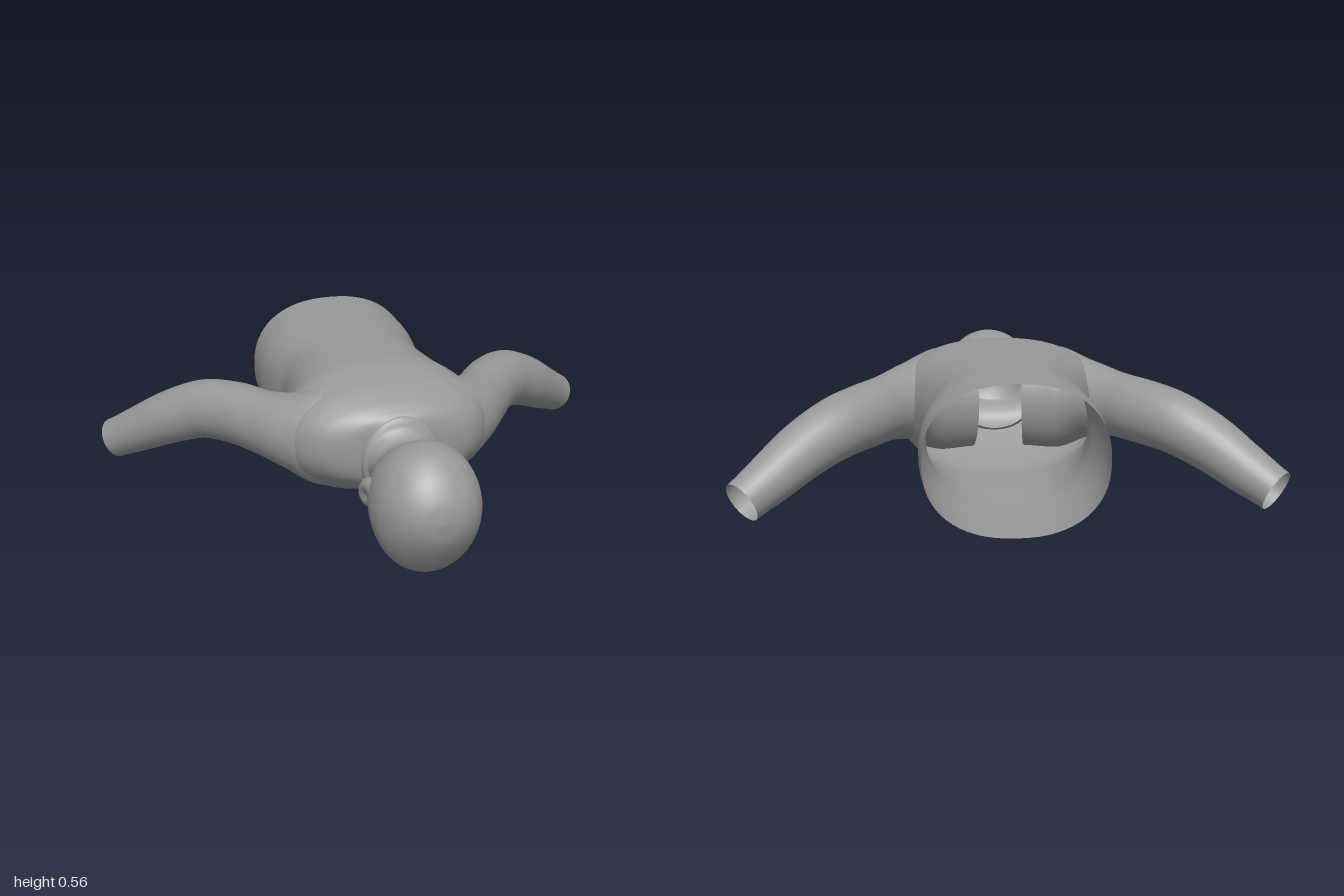
import * as THREE from 'three';
import { mergeVertices } from 'three/addons/utils/BufferGeometryUtils.js';

const material = new THREE.MeshStandardMaterial({ color: 0x999999, side: THREE.DoubleSide });

// Catmull-Rom sample of a table of rows, t from 0 to 1
function sample(rows, t) {
  const n = rows.length - 1;
  const i = Math.min(Math.floor(t * n), n - 1);
  const f = t * n - i;
  const row = k => rows[Math.min(Math.max(k, 0), n)];
  return rows[i].map((b, c) => {
    const a = row(i - 1)[c], d = row(i + 1)[c], e = row(i + 2)[c];
    return b + 0.5 * f * (d - a + f * (2 * a - 5 * b + 4 * d - e + f * (3 * (b - d) + e - a)));
  });
}

// Weld the seams and smooth the normals
function smooth(geometry) {
  geometry.deleteAttribute('uv');
  geometry.deleteAttribute('normal');
  const welded = mergeVertices(geometry, 1e-5);
  welded.computeVertexNormals();
  return welded;
}

// Surface from a rule point(u, v) -> [x, y, z]
function surface(nu, nv, point) {
  const positions = [], index = [];
  for (let i = 0; i <= nu; i++) {
    for (let j = 0; j <= nv; j++) positions.push(...point(i / nu, j / nv));
  }
  for (let i = 0; i < nu; i++) {
    for (let j = 0; j < nv; j++) {
      const a = i * (nv + 1) + j, b = a + nv + 1;
      index.push(a, b, a + 1, b, b + 1, a + 1);
    }
  }
  const geometry = new THREE.BufferGeometry();
  geometry.setAttribute('position', new THREE.Float32BufferAttribute(positions, 3));
  geometry.setIndex(index);
  return smooth(geometry);
}

const signedPow = (v, p) => Math.sign(v) * Math.pow(Math.abs(v), p);

// Point on a rounded section; angle runs from the top towards +x
function sectionPoint([z, top, bottom, width], angle, power = 1, grow = 0) {
  const h = (top - bottom) / 2 + grow;
  return [
    (width + grow) * signedPow(Math.sin(angle), power),
    (top + bottom) / 2 + h * signedPow(Math.cos(angle), power),
    z,
  ];
}

// Sections: z, top, bottom, half width
const torsoRows = [
  [0.285, 0.44, 0.25, 0.12], [0.265, 0.46, 0.19, 0.22], [0.22, 0.49, 0.15, 0.31],
  [0.13, 0.53, 0.1, 0.38], [0, 0.557, 0.048, 0.385], [-0.13, 0.56, 0.038, 0.34],
  [-0.26, 0.56, 0.032, 0.31], [-0.4, 0.56, 0.022, 0.295], [-0.53, 0.56, 0.02, 0.315],
  [-0.66, 0.56, 0.02, 0.33], [-0.8, 0.562, 0.02, 0.325],
];
const headRows = [
  [0.803, 0.25, 0.25, 0], [0.787, 0.325, 0.17, 0.08], [0.74, 0.4, 0.09, 0.146],
  [0.67, 0.455, 0.008, 0.187], [0.6, 0.47, -0.01, 0.2], [0.53, 0.458, 0.02, 0.195],
  [0.46, 0.425, 0.09, 0.172], [0.4, 0.39, 0.155, 0.14], [0.35, 0.38, 0.17, 0.127],
  [0.31, 0.405, 0.15, 0.132], [0.28, 0.448, 0.105, 0.15], [0.2, 0.42, 0.155, 0.15],
];
// Lower rim of the open face: z, y
const faceRim = [[0.665, 0], [0.64, 0.045], [0.6, 0.11], [0.56, 0.15], [0.5, 0.163], [0.38, 0.168]];

function rimHeight(z) {
  for (let i = 1; i < faceRim.length; i++) {
    const [z0, y0] = faceRim[i - 1], [z1, y1] = faceRim[i];
    if (z <= z0 && z >= z1) return y0 + (y1 - y0) * (z0 - z) / (z0 - z1);
  }
  return -1;
}

function headPoint(u, v) {
  const row = sample(headRows, u);
  const [z, top, bottom] = row;
  const h = (top - bottom) / 2;
  const cut = (rimHeight(z) - (top + bottom) / 2) / Math.max(h, 1e-4);
  const limit = Math.acos(Math.max(-1, Math.min(1, cut)));
  return sectionPoint(row, (v * 2 - 1) * limit);
}

// Trapezoid patch that follows the underside of the torso
function pocketPoint(u, v) {
  const z = -0.44 - 0.29 * u;
  let low = 0, high = 1;
  for (let k = 0; k < 20; k++) {
    const mid = (low + high) / 2;
    if (sample(torsoRows, mid)[0] > z) low = mid; else high = mid;
  }
  const spread = 0.3 + 0.28 * u;
  return sectionPoint(sample(torsoRows, low), Math.PI + (v * 2 - 1) * spread, 0.87, 0.01);
}

// Arm path: x, y, z, level radius, upright radius (flared to merge with the shoulder)
const armRows = [
  [0.1, 0.31, 0.08, 0.14, 0.19], [0.24, 0.312, 0.06, 0.148, 0.196], [0.338, 0.318, 0, 0.134, 0.15],
  [0.43, 0.32, -0.105, 0.117, 0.124], [0.52, 0.32, -0.235, 0.114, 0.12],
  [0.62, 0.303, -0.345, 0.112, 0.115], [0.735, 0.248, -0.435, 0.105, 0.105],
  [0.845, 0.175, -0.525, 0.092, 0.092], [0.944, 0.111, -0.605, 0.079, 0.079],
];

function armGeometry(side) {
  const steps = 56, sides = 28;
  const path = new THREE.CatmullRomCurve3(armRows.map(([x, y, z]) => new THREE.Vector3(side * x, y, z)));
  const geometry = new THREE.TubeGeometry(path, steps, 1, sides);
  const position = geometry.attributes.position;
  const vertex = new THREE.Vector3(), scale = new THREE.Vector3();
  for (let i = 0; i < position.count; i++) {
    const u = Math.floor(i / (sides + 1)) / steps;
    const centre = path.getPointAt(u);
    const [, , , level, upright] = sample(armRows, path.getUtoTmapping(u));
    scale.set(level, upright, level);
    vertex.fromBufferAttribute(position, i).sub(centre).multiply(scale).add(centre);
    position.setXYZ(i, vertex.x, vertex.y, vertex.z);
  }
  return smooth(geometry);
}

// Flattened ear with a hollow in its outer face
function earGeometry(side) {
  const geometry = new THREE.SphereGeometry(1, 28, 20);
  const position = geometry.attributes.position;
  for (let i = 0; i < position.count; i++) {
    const x = position.getX(i), y = position.getY(i), z = position.getZ(i);
    const hollow = x * side > 0 ? 0.5 * Math.exp(-7 * ((y + 0.1) ** 2 + (z + 0.1) ** 2)) : 0;
    position.setX(i, x - side * hollow);
  }
  geometry.scale(0.034, 0.056, 0.082);
  geometry.rotateX(-0.45);
  geometry.rotateY(side * -0.2);
  return smooth(geometry);
}

export function createModel() {
  const model = new THREE.Group();
  const add = (name, geometry) => {
    const mesh = new THREE.Mesh(geometry, material);
    mesh.name = name;
    model.add(mesh);
    return mesh;
  };

  // Hollow torso, open at the waist
  add('torso', surface(80, 64, (u, v) => sectionPoint(sample(torsoRows, u), v * Math.PI * 2, 0.87)));
  add('pocket', surface(12, 16, pocketPoint));

  // Hollow head with an open face, running into the neck
  add('headAndNeck', surface(110, 56, headPoint));

  // Arms with open wrists, and ears
  for (const [label, side] of [['left', 1], ['right', -1]]) {
    add(label + 'Arm', armGeometry(side));
    add(label + 'Ear', earGeometry(side)).position.set(side * 0.172, 0.26, 0.495);
  }
  return model;
}
